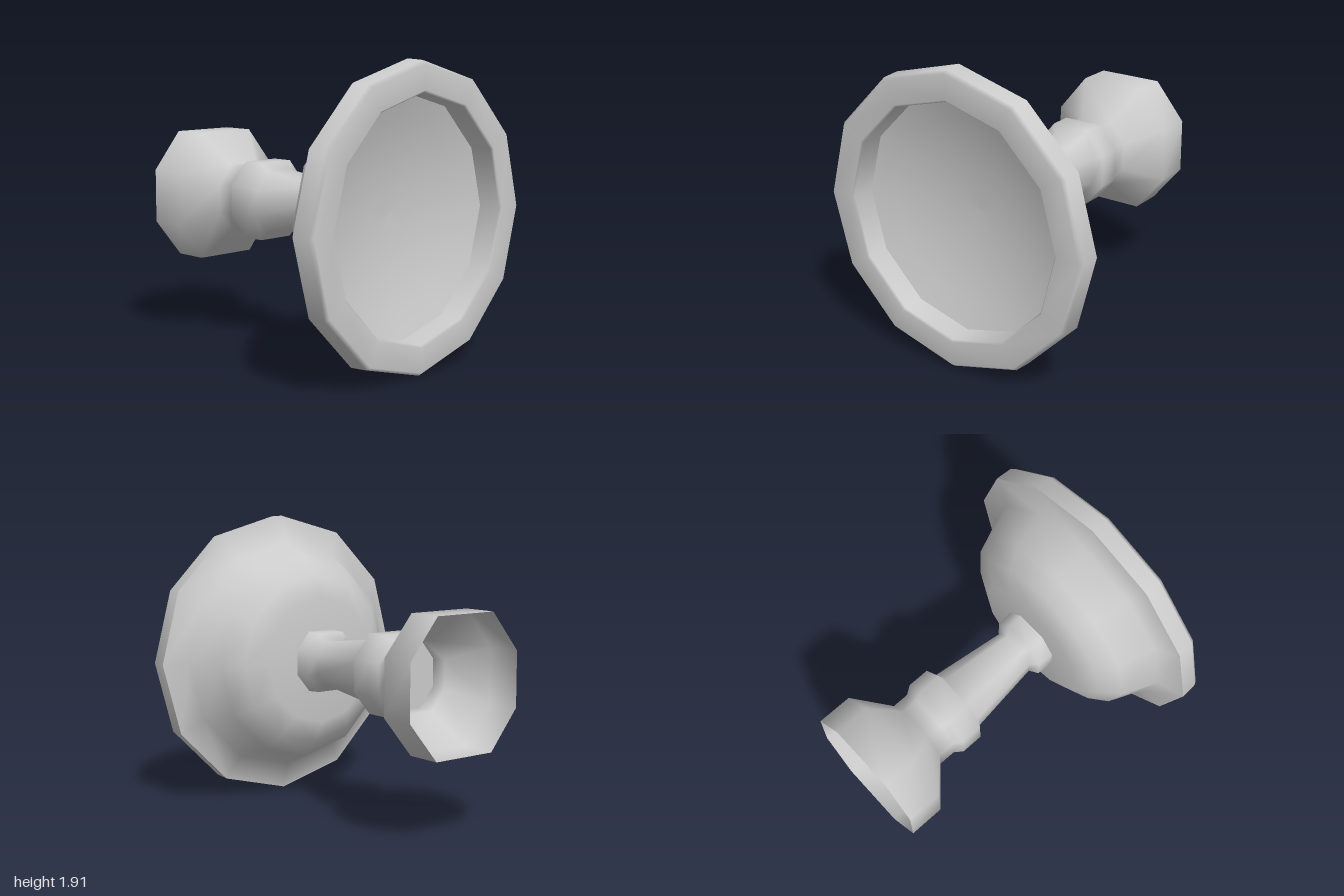
import * as THREE from 'three';
import { mergeVertices } from 'three/addons/utils/BufferGeometryUtils.js';

const AXIS_Y = 0.958;

// Revolve [radius, z] pairs around the z axis
function revolve(profile, sides, phase) {
  const points = profile.map(([r, z]) => new THREE.Vector2(r, z));
  return new THREE.LatheGeometry(points, sides, phase).rotateX(Math.PI / 2);
}

// Eight-sided tube with flats facing the axes; the top and bottom flats are wider
function octagonTube(profile) {
  const toCorner = 1 / Math.cos(Math.PI / 8);
  const geometry = revolve(profile.map(([r, z]) => [r * toCorner, z]), 8, Math.PI / 8);
  const pos = geometry.attributes.position;
  for (let i = 0; i < pos.count; i++) {
    if (Math.abs(pos.getY(i)) > Math.abs(pos.getX(i))) pos.setX(i, pos.getX(i) * 1.25);
  }
  geometry.deleteAttribute('uv');
  geometry.deleteAttribute('normal');
  const welded = mergeVertices(geometry);
  welded.computeVertexNormals();
  return welded;
}

export function createModel() {
  const group = new THREE.Group();
  group.name = 'plunger';
  const grey = new THREE.MeshStandardMaterial({ color: 0xcccccc, side: THREE.DoubleSide });

  function addPart(name, geometry) {
    const mesh = new THREE.Mesh(geometry, grey);
    mesh.name = name;
    mesh.position.y = AXIS_Y;
    group.add(mesh);
  }

  // Twelve-sided dish: rounded back
  addPart('dishBack', revolve([
    [0, 0.405], [0.425, 0.405], [0.57, 0.48], [0.685, 0.585], [0.78, 0.81], [0.957, 0.86],
  ], 12, 0));

  // Thick rim with a bevelled front edge and a straight inner wall
  addPart('dishRim', revolve([
    [0.957, 0.86], [0.95, 0.975], [0.93, 1], [0.775, 1], [0.762, 0.985], [0.757, 0.84],
  ], 12, 0));

  // Shallow hollow recessed behind the rim
  const hollow = [1, 0.8, 0.6, 0.4, 0.2, 0].map((t) => [0.757 * t, 0.7 + 0.14 * t * t]);
  addPart('dishHollow', revolve(hollow, 12, 0));

  // Socket, ringed neck, tapered stem and base collar
  addPart('stemAndSocket', octagonTube([
    [0.427, -1], [0.427, -0.77], [0.22, -0.58], [0.22, -0.47], [0.255, -0.415],
    [0.255, -0.27], [0.2, -0.24], [0.143, 0.26], [0.193, 0.3], [0.2, 0.405],
  ]));

  // Floor closing the neck inside the socket
  addPart('socketFloor', octagonTube([[0, -0.47], [0.22, -0.47]]));

  return group;
}
